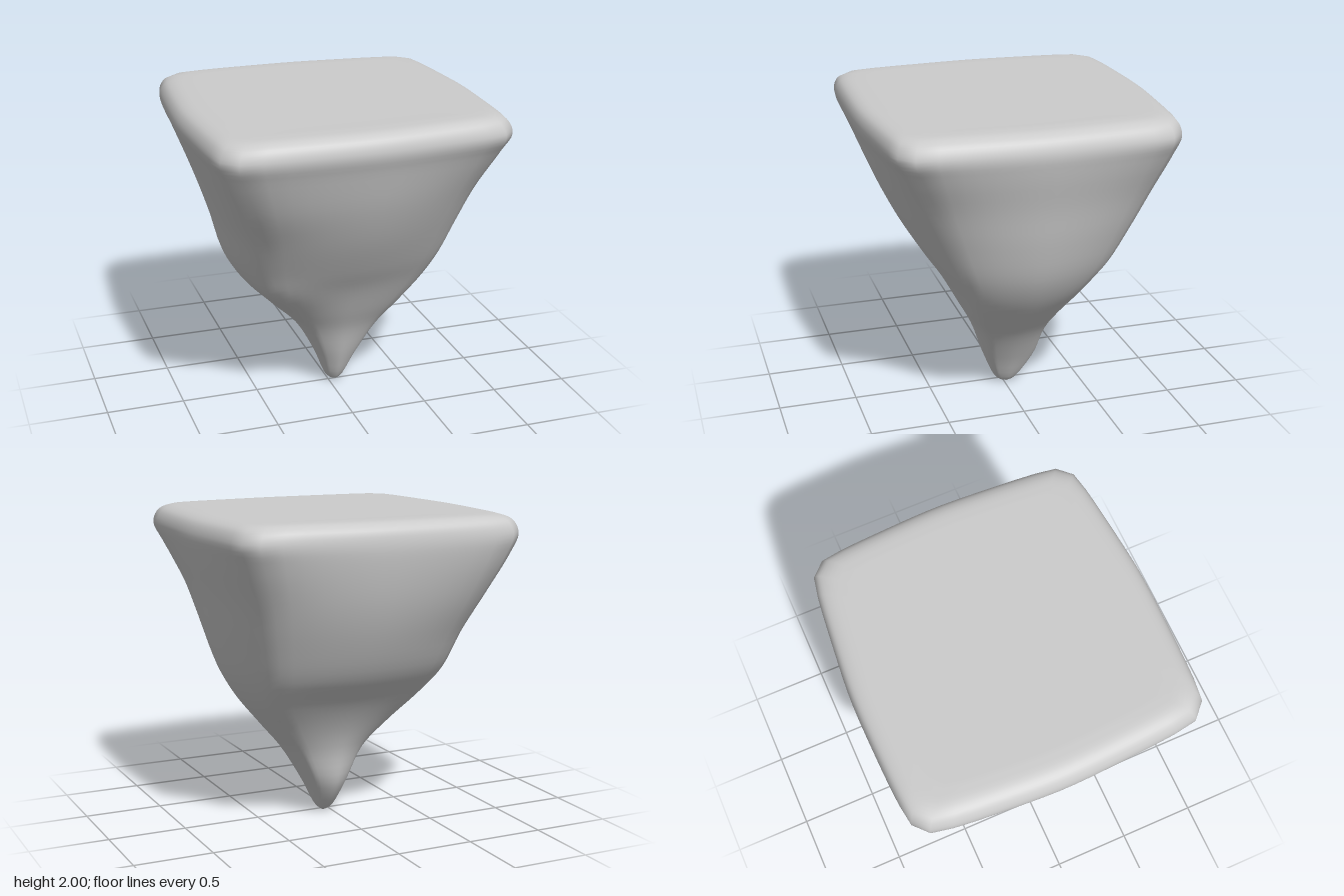
import * as THREE from 'three';

// Cross-sections from the tip to the flat top:
// y, left x, right x, back z, front z, squareness of the four corners
// (front right, front left, back left, back right; 0.71 is round, 1 is square)
const SECTIONS = [
  [0.00, 0.03, 0.05, -0.03, -0.01, 0.71, 0.71, 0.71, 0.71],
  [0.03, -0.01, 0.09, -0.08, 0.05, 0.71, 0.71, 0.71, 0.71],
  [0.22, -0.09, 0.19, -0.22, 0.14, 0.74, 0.72, 0.72, 0.73],
  [0.45, -0.22, 0.33, -0.27, 0.22, 0.79, 0.74, 0.73, 0.77],
  [0.62, -0.39, 0.47, -0.34, 0.31, 0.81, 0.76, 0.77, 0.80],
  [0.82, -0.58, 0.63, -0.47, 0.42, 0.81, 0.83, 0.81, 0.82],
  [1.00, -0.69, 0.73, -0.64, 0.54, 0.80, 0.80, 0.81, 0.80],
  [1.25, -0.76, 0.81, -0.78, 0.69, 0.80, 0.82, 0.82, 0.81],
  [1.50, -0.84, 0.87, -0.88, 0.81, 0.83, 0.87, 0.86, 0.84],
  [1.75, -0.93, 0.94, -0.94, 0.90, 0.89, 0.91, 0.90, 0.89],
  [1.87, -0.97, 0.96, -0.95, 0.94, 0.92, 0.92, 0.91, 0.92],
  [1.95, -0.94, 0.93, -0.93, 0.92, 0.92, 0.92, 0.91, 0.92],
  [1.985, -0.88, 0.87, -0.87, 0.87, 0.92, 0.92, 0.91, 0.92],
  [1.995, -0.76, 0.76, -0.75, 0.75, 0.92, 0.92, 0.91, 0.92],
];
const CENTRE_X = 0.04, CENTRE_Z = -0.02;
const FACETING = 0.6; // 0 gives rounded sides, 1 flat sides between corner ridges
const SOFTNESS = 0.2; // rounds the middle of each side
const SKEW = 0.04; // the left half is slightly deeper than the right
const COLUMNS = 64, ROWS = 56;

const soften = (v) => Math.hypot(v, SOFTNESS) - SOFTNESS;
const SOFT_SCALE = Math.SQRT1_2 / soften(Math.SQRT1_2);

// Point on a section: a blend of a superellipse and a ridged octagon,
// both passing through the same corner in each quadrant
function sectionPoint([y, x0, x1, z0, z1, ...corners], angle) {
  const c = Math.cos(angle), s = Math.sin(angle);
  const k = corners[Math.floor(angle / (Math.PI / 2)) % 4];
  const n = -Math.LN2 / Math.log(k);
  const major = Math.max(Math.abs(c), Math.abs(s)), minor = Math.min(Math.abs(c), Math.abs(s));
  const round = (major ** n + minor ** n) ** (-1 / n);
  const ridged = 1 / (major + SOFT_SCALE * soften(minor) * (1 - k) / k);
  const r = THREE.MathUtils.lerp(round, ridged, FACETING);
  const x = CENTRE_X + (c > 0 ? x1 - CENTRE_X : CENTRE_X - x0) * r * c;
  const z = CENTRE_Z + (s > 0 ? z1 - CENTRE_Z : CENTRE_Z - z0) * r * s;
  return new THREE.Vector3(x, y, z * (1 - SKEW * x));
}

// Smooth skin through all sections, closed at tip and top
function loftGeometry() {
  const positions = [], index = [];
  for (let j = 0; j < COLUMNS; j++) {
    // The half step puts a narrow bevel on each corner
    const angle = ((j + 0.5) / COLUMNS) * Math.PI * 2;
    const points = SECTIONS.map((section) => sectionPoint(section, angle));
    const curve = new THREE.CatmullRomCurve3(points);
    for (let i = 0; i <= ROWS; i++) {
      positions.push(...curve.getPoint(i / ROWS).toArray());
    }
  }
  const at = (i, j) => (j % COLUMNS) * (ROWS + 1) + i;
  const tip = positions.length / 3, top = tip + 1;
  positions.push(CENTRE_X, 0, CENTRE_Z, 0, 1.99, 0);
  for (let j = 0; j < COLUMNS; j++) {
    for (let i = 0; i < ROWS; i++) {
      index.push(at(i, j), at(i + 1, j), at(i, j + 1));
      index.push(at(i, j + 1), at(i + 1, j), at(i + 1, j + 1));
    }
    index.push(tip, at(0, j), at(0, j + 1));
    index.push(top, at(ROWS, j + 1), at(ROWS, j));
  }
  const geometry = new THREE.BufferGeometry();
  geometry.setAttribute('position', new THREE.Float32BufferAttribute(positions, 3));
  geometry.setIndex(index);
  geometry.computeVertexNormals();
  return geometry;
}

export function createModel() {
  const group = new THREE.Group();
  group.name = 'floatingRock';
  const rock = new THREE.Mesh(loftGeometry(), new THREE.MeshStandardMaterial({ color: 0xcccccc }));
  rock.name = 'rockBody';
  group.add(rock);
  return group;
}
